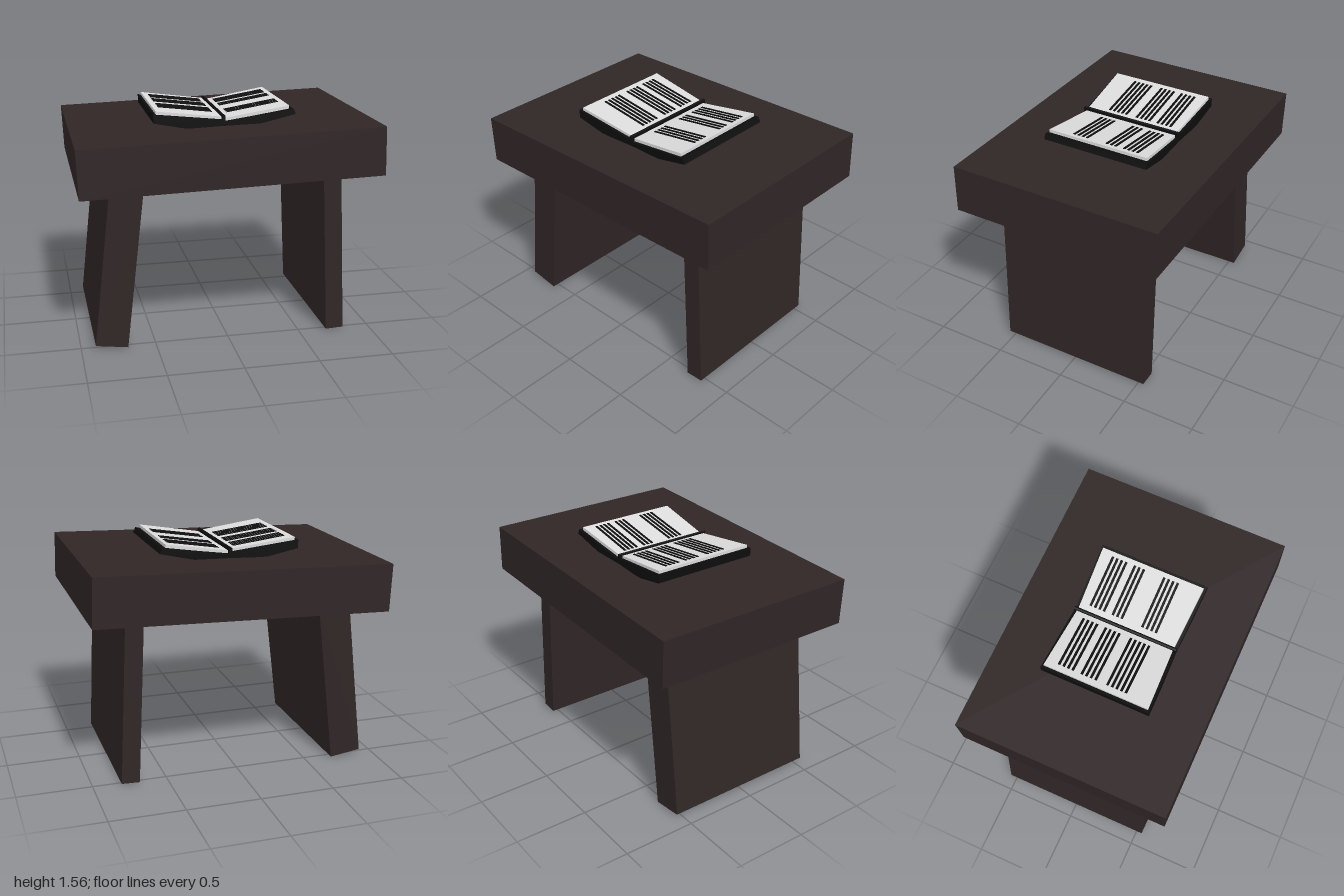
import * as THREE from 'three';

const material = (name, color) => {
  const m = new THREE.MeshStandardMaterial({ color });
  m.name = name;
  return m;
};

// Prism with a front outline, running along z; halfDepth may vary with x
function prism(name, outline, halfDepth, mat) {
  const shape = new THREE.Shape(outline.map(([x, y]) => new THREE.Vector2(x, y)));
  const geo = new THREE.ExtrudeGeometry(shape, { depth: 2, bevelEnabled: false });
  geo.translate(0, 0, -1);
  const pos = geo.attributes.position;
  for (let i = 0; i < pos.count; i++) pos.setZ(i, pos.getZ(i) * halfDepth(pos.getX(i)));
  geo.computeVertexNormals();
  const mesh = new THREE.Mesh(geo, mat);
  mesh.name = name;
  return mesh;
}

export function createModel() {
  const wood = material('dark wood', 0x302626);
  const black = material('black cover and ink', 0x0d0d0d);
  const paper = material('paper', 0xdcdcdc);
  const model = new THREE.Group();
  model.name = 'tableWithBook';

  // Tilted slab and two leaning plank legs
  model.add(
    prism('tableTop', [[-0.987, 1.09], [1, 1.145], [0.99, 1.47], [-1, 1.412]], () => 0.721, wood),
    prism('rightLeg', [[-0.905, 0.033], [-0.69, 0.003], [-0.56, 1.12], [-0.782, 1.12]], () => 0.543, wood),
    prism('leftLeg', [[0.69, 0.01], [0.812, 0.015], [0.757, 1.16], [0.636, 1.16]], () => 0.543, wood)
  );

  // Open book: cover with a raised spine
  const book = new THREE.Group();
  book.name = 'openBook';
  model.add(book);
  book.add(prism('cover', [
    [-0.47, 1.537], [-0.468, 1.48], [-0.26, 1.437], [0, 1.43], [0.24, 1.446], [0.485, 1.504],
    [0.468, 1.539], [0.012, 1.47], [0.01, 1.508], [0, 1.514], [-0.01, 1.508], [-0.012, 1.482]
  ], x => 0.358 + 0.032 * Math.abs(x), black));

  // Each page block and its printed lines: outer edge, inner edge, rows
  const pages = [
    { name: 'rightPage', a: [-0.45, 1.555], b: [-0.012, 1.5], from: -0.41, to: -0.045, rows: [[-0.27, 4], [-0.113, 4], [0.063, 5]] },
    { name: 'leftPage', a: [0.012, 1.49], b: [0.442, 1.56], from: 0.055, to: 0.41, rows: [[-0.27, 4], [-0.113, 3], [0.095, 4]] }
  ];
  for (const { name, a, b, from, to, rows } of pages) {
    const drop = 0.022;
    book.add(prism(name, [[a[0], a[1] - drop], [b[0], b[1] - drop], b, a],
      x => 0.336 + 0.048 * Math.abs(x), paper));
    const slope = Math.atan2(b[1] - a[1], b[0] - a[0]);
    const x = (from + to) / 2;
    const y = a[1] + (x - a[0]) * Math.tan(slope);
    const lineGeo = new THREE.BoxGeometry((to - from) / Math.cos(slope), 0.005, 0.016);
    for (const [start, count] of rows) {
      for (let i = 0; i < count; i++) {
        const line = new THREE.Mesh(lineGeo, black);
        line.name = name + 'PrintedLine';
        line.position.set(x, y + 0.001, start + i * 0.0315);
        line.rotation.z = slope;
        book.add(line);
      }
    }
  }
  return model;
}
